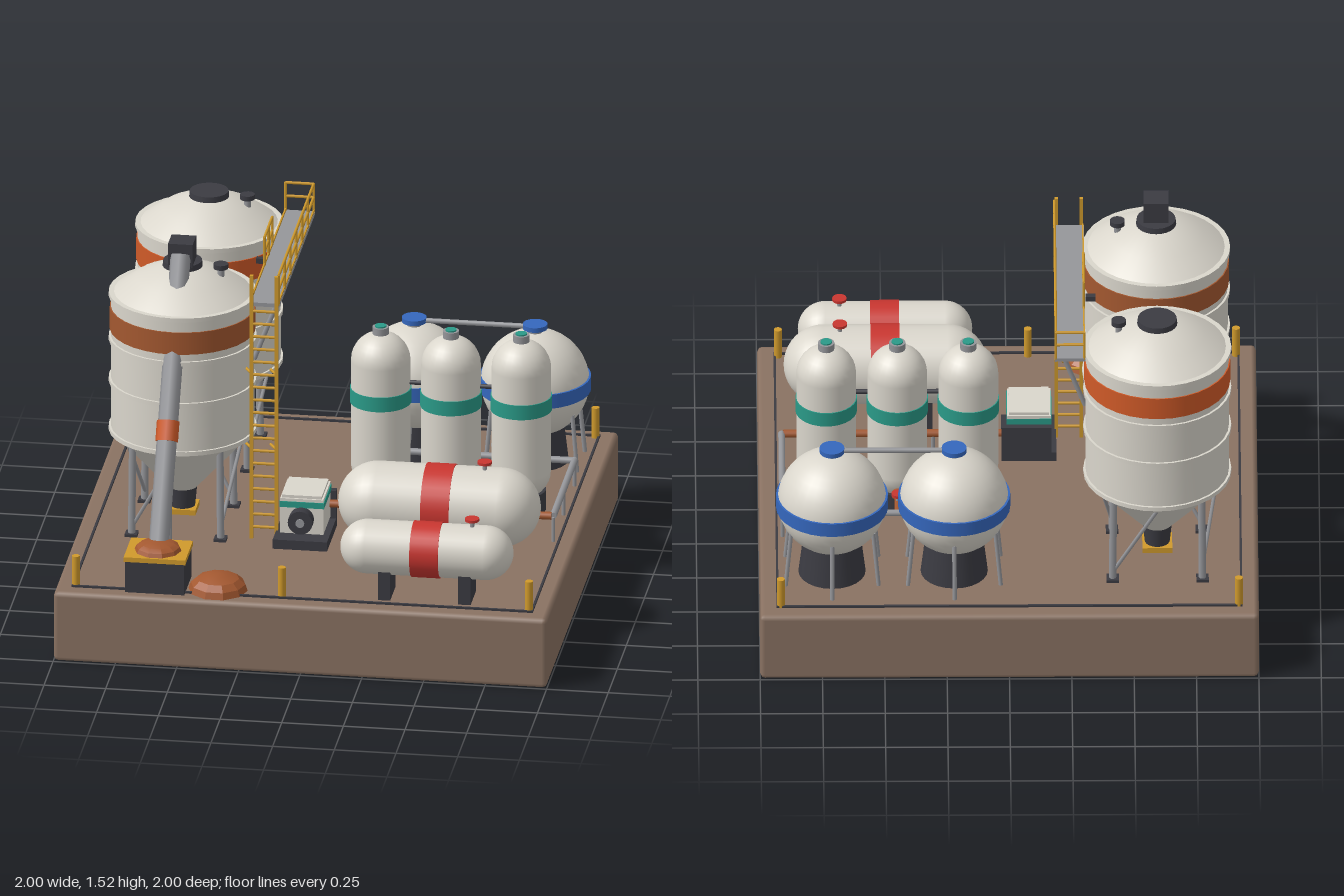
import * as THREE from 'three';
import { RoundedBoxGeometry } from 'three/addons/geometries/RoundedBoxGeometry.js';
import { toCreasedNormals } from 'three/addons/utils/BufferGeometryUtils.js';

const paint = (name, color) => Object.assign(new THREE.MeshStandardMaterial({ color }), { name });

export function createModel() {
  const ground = paint('ground brown', 0x8a7262), dark = paint('charcoal', 0x3b3b42);
  const shell = paint('off white', 0xdad6cc), steel = paint('steel grey', 0x95969a);
  const orange = paint('orange', 0xcf5a28), rust = paint('rust', 0xa35830);
  const teal = paint('teal', 0x2a9a88), blue = paint('blue', 0x3567bd);
  const red = paint('red', 0xc93630), yellow = paint('safety yellow', 0xd09a2c);

  const root = new THREE.Group();
  root.name = 'storagePlant';
  const V = (x, y, z) => new THREE.Vector3(x, y, z);
  const group = (name, x = 0, y = 0, z = 0) => {
    const g = new THREE.Group();
    g.name = name;
    g.position.set(x, y, z);
    root.add(g);
    return g;
  };
  const add = (parent, name, geo, mat, x = 0, y = 0, z = 0) => {
    const m = new THREE.Mesh(geo, mat);
    m.name = name;
    m.position.set(x, y, z);
    parent.add(m);
    return m;
  };
  const box = (p, name, mat, w, h, d, x, y, z) => add(p, name, new THREE.BoxGeometry(w, h, d), mat, x, y, z);
  // upright cylinder between two heights
  const drum = (p, name, mat, r0, r1, y0, y1, x = 0, z = 0, n = 24) =>
    add(p, name, new THREE.CylinderGeometry(r1, r0, y1 - y0, n), mat, x, (y0 + y1) / 2, z);
  // straight bar between two points
  const rod = (p, name, mat, a, b, r, n = 8) => {
    const m = add(p, name, new THREE.CylinderGeometry(r, r, a.distanceTo(b), n), mat);
    m.position.copy(a).add(b).multiplyScalar(0.5);
    m.quaternion.setFromUnitVectors(V(0, 1, 0), b.clone().sub(a).normalize());
    return m;
  };
  const pipe = (p, name, mat, pts, r) => {
    for (let i = 1; i < pts.length; i++) {
      rod(p, name, mat, pts[i - 1], pts[i], r, 10);
      if (i < pts.length - 1) add(p, name + 'Elbow', new THREE.SphereGeometry(r * 1.05, 10, 8), mat, ...pts[i].toArray());
    }
  };
  const lathe = (p, name, mat, pts, n = 32) =>
    add(p, name, toCreasedNormals(new THREE.LatheGeometry(pts.map(q => new THREE.Vector2(...q)), n), 0.5), mat);

  // Base slab, painted border and bollards
  add(root, 'base', new RoundedBoxGeometry(2, 0.3, 2, 1, 0.02), ground, 0, 0.15, 0);
  for (const s of [-1, 1]) {
    box(root, 'borderLine', dark, 1.87, 0.009, 0.009, 0, 0.304, s * 0.93);
    box(root, 'borderLine', dark, 0.009, 0.009, 1.87, s * 0.93, 0.304, 0);
  }
  for (const [x, z] of [[-0.92, 0.915], [0.917, 0.915], [-0.92, -0.92], [0.917, -0.92], [-0.085, 0.915]])
    drum(root, 'bollard', yellow, 0.016, 0.016, 0.3, 0.43, x, z, 12);

  // Silos
  for (const [z, bandMat] of [[0.18, rust], [-0.553, orange]]) {
    const g = group('silo', -0.595, 0, z);
    lathe(g, 'siloShell', shell, [[0.055, 0.45], [0.288, 0.71], [0.288, 1.29], [0.19, 1.36], [0.075, 1.412], [0, 1.412]]);
    for (const y of [0.71, 0.92, 1.1, 1.29]) drum(g, 'siloRing', shell, 0.297, 0.297, y - 0.009, y + 0.009, 0, 0, 32);
    drum(g, 'siloBand', bandMat, 0.293, 0.293, 1.14, 1.235, 0, 0, 32);
    drum(g, 'siloCap', dark, 0.082, 0.078, 1.4, 1.433);
    drum(g, 'ventStem', steel, 0.014, 0.014, 1.35, 1.41, 0.155, 0, 10);
    drum(g, 'ventCap', dark, 0.03, 0.03, 1.405, 1.425, 0.155, 0, 14);
    drum(g, 'outlet', dark, 0.05, 0.06, 0.365, 0.47);
    box(g, 'outletFlange', yellow, 0.12, 0.022, 0.12, 0, 0.36, 0);
    const at = (i, r, y) => V(Math.cos((i + 0.5) * Math.PI / 2) * r, y, Math.sin((i + 0.5) * Math.PI / 2) * r);
    for (let i = 0; i < 4; i++) {
      rod(g, 'siloLeg', steel, at(i, 0.25, 0.71), at(i, 0.255, 0.3), 0.015);
      rod(g, 'siloBrace', steel, at(i, 0.25, 0.34), V(Math.cos(i * Math.PI / 2) * 0.24, 0.67, Math.sin(i * Math.PI / 2) * 0.24), 0.008, 6);
      box(g, 'siloFoot', dark, 0.05, 0.012, 0.05, ...at(i, 0.255, 0.306).toArray());
    }
  }

  // Loading conveyor with intake hopper and spilled material
  const conveyor = group('conveyor', -0.595, 0, 0);
  const foot = V(0, 0.45, 0.845), head = V(0, 1.475, 0.235);
  rod(conveyor, 'chute', steel, foot, head, 0.041, 8);
  rod(conveyor, 'chuteBand', orange, foot.clone().lerp(head, 0.365), foot.clone().lerp(head, 0.435), 0.046, 8);
  box(conveyor, 'conveyorDrive', dark, 0.1, 0.1, 0.1, 0, 1.475, 0.195);
  rod(conveyor, 'chuteSupport', steel, V(0, 0.3, 0.535), V(0, 0.98, 0.535), 0.008);
  box(conveyor, 'hopper', dark, 0.24, 0.14, 0.2, 0, 0.37, 0.855);
  box(conveyor, 'hopperRim', yellow, 0.25, 0.02, 0.21, 0, 0.443, 0.855);
  const heap = (name, r, h, x, y, z) => {
    const geo = new THREE.SphereGeometry(r, 10, 4, 0, Math.PI * 2, 0, Math.PI / 2);
    geo.scale(1, h / r, 1);
    add(root, name, toCreasedNormals(geo, 0.3), rust, x, y, z);
  };
  heap('hopperHeap', 0.095, 0.04, -0.595, 0.453, 0.86);
  heap('spilledHeap', 0.12, 0.07, -0.35, 0.3, 0.87);

  // Catwalk with railings
  const walk = group('catwalk');
  const xl = -0.302, xr = -0.188, zb = -0.665, zf = 0.305;
  box(walk, 'walkway', steel, 0.122, 0.016, 0.98, -0.245, 1.31, -0.18);
  const railing = (a, b, count) => {
    for (const y of [1.38, 1.438]) rod(walk, 'rail', yellow, V(a[0], y, a[1]), V(b[0], y, b[1]), 0.006, 6);
    for (let i = 0; i <= count; i++) {
      const x = a[0] + (b[0] - a[0]) * i / count, z = a[1] + (b[1] - a[1]) * i / count;
      rod(walk, 'railPost', yellow, V(x, 1.31, z), V(x, 1.44, z), 0.006, 6);
    }
  };
  railing([xr, zb], [xr, zf], 6);
  railing([xl, -0.3], [xl, -0.08], 2);
  railing([xl, zb], [xr, zb], 1);
  for (const x of [xl, xr]) box(walk, 'kerb', yellow, 0.006, 0.022, 0.97, x, 1.317, -0.18);
  for (const z of [0.18, -0.553]) {
    rod(walk, 'walkBracket', steel, V(-0.305, 1.02, z), V(-0.2, 1.3, z), 0.01);
    box(walk, 'walkBeam', dark, 0.11, 0.018, 0.025, -0.25, 1.294, z);
  }
  box(walk, 'walkLamp', dark, 0.04, 0.022, 0.025, -0.33, 1.295, -0.187);

  // Ladder
  const ladder = group('ladder', -0.245, 0, 0.32);
  for (const s of [-1, 1]) {
    box(ladder, 'ladderStile', yellow, 0.014, 1.14, 0.014, s * 0.05, 0.87, 0);
    for (const y of [0.69, 1.015]) rod(ladder, 'ladderBracket', yellow, V(s * 0.05, y, 0), V(s * 0.05 - 0.03, y, -0.05), 0.006, 6);
  }
  for (let y = 0.35; y < 1.3; y += 0.055) rod(ladder, 'rung', yellow, V(-0.05, y, 0), V(0.05, y, 0), 0.006, 6);

  // Spherical tanks
  for (const x of [0.22, 0.71]) {
    const g = group('sphereTank', x, 0, -0.66);
    add(g, 'sphere', new THREE.SphereGeometry(0.219, 32, 20), shell, 0, 0.637, 0);
    drum(g, 'sphereBand', blue, 0.225, 0.225, 0.607, 0.667, 0, 0, 32);
    drum(g, 'spherePedestal', dark, 0.135, 0.115, 0.3, 0.47);
    drum(g, 'sphereNeck', steel, 0.03, 0.03, 0.84, 0.875, 0, 0, 14);
    drum(g, 'sphereHatch', blue, 0.05, 0.05, 0.868, 0.888, 0, 0, 20);
    for (let i = 0; i < 6; i++) {
      const c = Math.cos((i + 0.5) * Math.PI / 3), s = Math.sin((i + 0.5) * Math.PI / 3);
      rod(g, 'sphereLeg', steel, V(c * 0.19, 0.54, s * 0.19), V(c * 0.215, 0.3, s * 0.215), 0.009);
    }
  }
  rod(root, 'spherePipe', steel, V(0.22, 0.875, -0.66), V(0.71, 0.875, -0.66), 0.011);

  // Upright cylinders with their valves
  for (const x of [0.16, 0.445, 0.73]) {
    const g = group('uprightTank', x, 0, -0.143);
    add(g, 'uprightShell', new THREE.CapsuleGeometry(0.12, 0.44, 8, 28), shell, 0, 0.69, 0);
    drum(g, 'uprightBand', teal, 0.124, 0.124, 0.733, 0.795, 0, 0, 28);
    drum(g, 'uprightPlinth', dark, 0.1, 0.1, 0.3, 0.385);
    drum(g, 'uprightCollar', steel, 0.033, 0.033, 1.02, 1.055, 0, 0, 16);
    drum(g, 'uprightCap', teal, 0.023, 0.023, 1.05, 1.061, 0, 0, 16);
    rod(g, 'feedPipe', rust, V(0, 0.41, -0.08), V(0, 0.41, -0.262), 0.013);
    rod(g, 'feedFlange', rust, V(0, 0.41, -0.12), V(0, 0.41, -0.135), 0.024, 12);
    drum(g, 'valveStem', steel, 0.007, 0.007, 0.41, 0.45, 0, -0.19, 8);
    drum(g, 'valveWheel', red, 0.025, 0.025, 0.445, 0.457, 0, -0.19, 14);
  }
  rod(root, 'uprightLink', dark, V(0.16, 0.82, -0.143), V(0.73, 0.82, -0.143), 0.01);

  // Pipework
  const pipes = group('pipework');
  pipe(pipes, 'headerPipe', steel, [V(0.08, 0.41, -0.405), V(0.907, 0.41, -0.405), V(0.907, 0.41, 0.18)], 0.014);
  for (const x of [0.22, 0.71]) pipe(pipes, 'sphereFeed', steel, [V(x, 0.41, -0.405), V(x, 0.41, -0.5), V(x, 0.5, -0.56)], 0.011);
  pipe(pipes, 'pumpPipe', rust, [V(-0.01, 0.41, 0.18), V(0.9, 0.41, 0.18)], 0.016);
  pipe(pipes, 'largeTankFeed', rust, [V(0.49, 0.41, 0.18), V(0.49, 0.5, 0.335)], 0.014);
  pipe(pipes, 'smallTankFeed', rust, [V(0.18, 0.41, 0.18), V(0.18, 0.41, 0.68), V(0.2, 0.42, 0.715), V(0.25, 0.47, 0.76)], 0.014);
  for (const [x, z] of [[0.3, -0.405], [0.6, -0.405], [0.907, -0.405], [0.907, -0.1], [0.907, 0.18], [0.3, 0.18], [0.7, 0.18]])
    rod(pipes, 'pipeStand', steel, V(x, 0.3, z), V(x, 0.405, z), 0.008);

  // Horizontal tanks on saddles
  for (const [r, len, x, y, z] of [[0.16, 0.818, 0.488, 0.555, 0.465], [0.11, 0.7, 0.488, 0.5, 0.813]]) {
    const g = group('horizontalTank', x, 0, z);
    const body = add(g, 'tankShell', new THREE.CapsuleGeometry(r, len - 2 * r, 10, 32), shell, 0, y, 0);
    body.rotation.z = Math.PI / 2;
    rod(g, 'tankBand', red, V(-0.056, y, 0), V(0.06, y, 0), r + 0.004, 32);
    for (const s of [-1, 1]) box(g, 'saddle', dark, 0.05, y - r * 0.65 - 0.3, r * 1.4, s * 0.163, (y - r * 0.65 + 0.3) / 2, 0);
    drum(g, 'tankValveStem', steel, 0.009, 0.009, y + r - 0.01, y + r + 0.03, 0.183, 0, 8);
    drum(g, 'tankValveWheel', red, 0.029, 0.029, y + r + 0.025, y + r + 0.036, 0.183, 0, 16);
  }

  // Pump unit
  const pump = group('pumpUnit', -0.085, 0, 0.265);
  box(pump, 'pumpSkid', dark, 0.22, 0.04, 0.28, 0, 0.32, 0.015);
  box(pump, 'pumpHousing', shell, 0.175, 0.15, 0.205, 0, 0.425, 0);
  box(pump, 'pumpStripe', teal, 0.181, 0.025, 0.211, 0, 0.475, 0);
  box(pump, 'pumpLid', shell, 0.16, 0.012, 0.19, 0, 0.506, 0);
  box(pump, 'pumpBackUnit', dark, 0.2, 0.12, 0.03, 0.01, 0.4, -0.112);
  rod(pump, 'pumpMotor', dark, V(0, 0.415, 0.09), V(0, 0.415, 0.15), 0.05, 20);
  rod(pump, 'pumpShaft', steel, V(0, 0.415, 0.14), V(0, 0.415, 0.158), 0.018, 12);

  return root;
}
